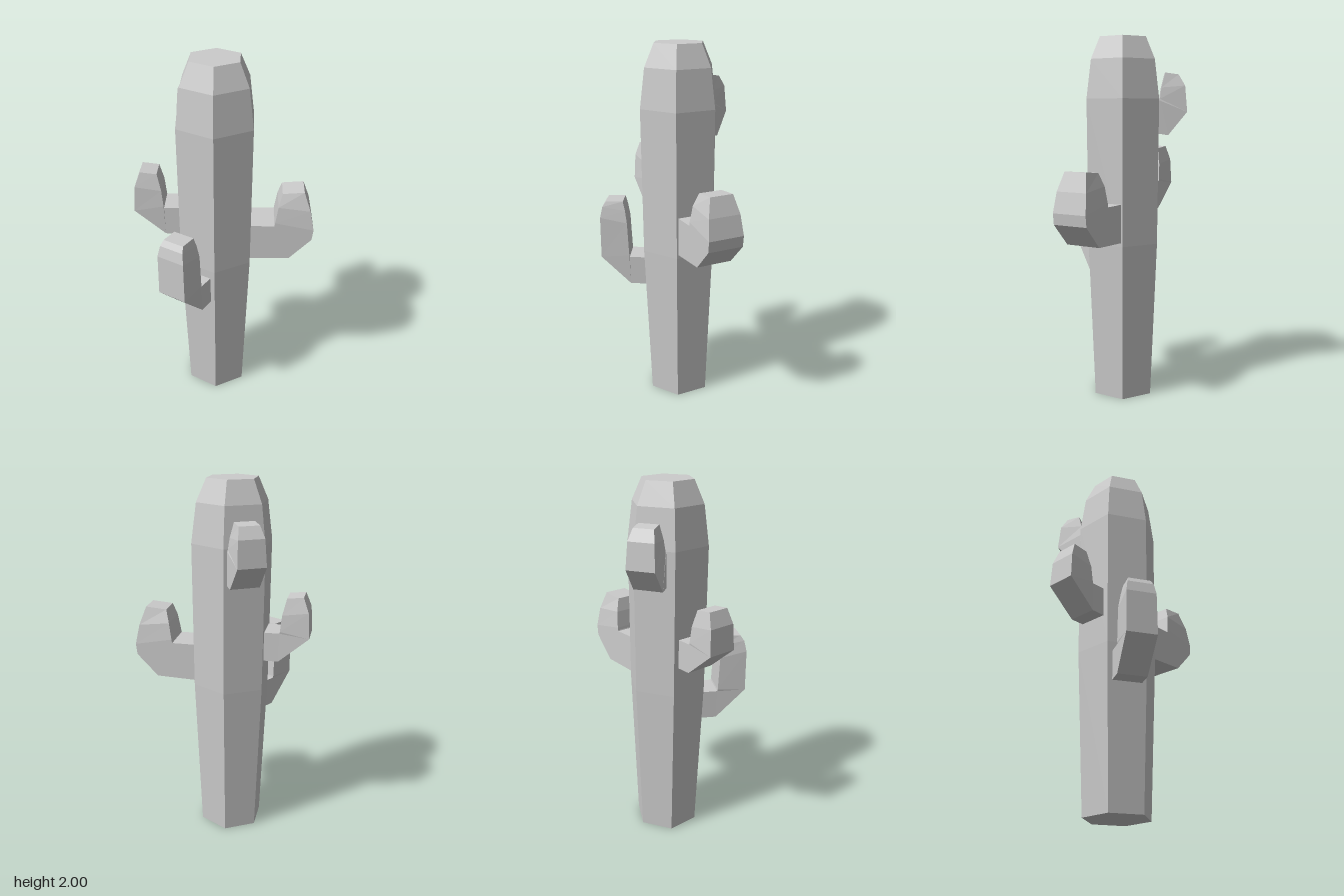
import * as THREE from 'three';

const material = new THREE.MeshStandardMaterial({ color: 0xcccccc, flatShading: true });

// Lofts four-sided rings; each ring is [innerR, innerY, outerR, outerY, halfWidth]
function armGeometry(rings) {
  const pos = [];
  const index = [];
  for (const [ir, iy, or, oy, w] of rings) {
    pos.push(ir, iy, w, or, oy, w, or, oy, -w, ir, iy, -w);
  }
  for (let i = 0; i < rings.length - 1; i++) {
    for (let k = 0; k < 4; k++) {
      const a = i * 4 + k, b = i * 4 + (k + 1) % 4;
      index.push(a, b, b + 4, a, b + 4, a + 4);
    }
  }
  const t = (rings.length - 1) * 4;
  index.push(0, 2, 1, 0, 3, 2, t, t + 1, t + 2, t, t + 2, t + 3);
  const geo = new THREE.BufferGeometry();
  geo.setAttribute('position', new THREE.Float32BufferAttribute(pos, 3));
  geo.setIndex(index);
  const flat = geo.toNonIndexed();
  flat.computeVertexNormals();
  return flat;
}

export function createModel() {
  const cactus = new THREE.Group();
  cactus.name = 'cactus';
  const centreX = -0.045;

  // Six-sided trunk, widening upwards to a chamfered crown
  const profile = [[0, 0.01], [0.18, 0.005], [0.218, 0.88], [0.225, 1.67], [0.197, 1.88], [0.142, 2], [0, 2]]
    .map(([r, y]) => new THREE.Vector2(r, y));
  const trunk = new THREE.Mesh(new THREE.LatheGeometry(profile, 6, Math.PI / 2), material);
  trunk.name = 'trunk';
  trunk.position.x = centreX;
  cactus.add(trunk);

  // Arms grow out of the trunk faces and bend upwards
  const arms = [
    ['leftFrontArm', -30, 0, [
      [0.15, 1.11, 0.15, 0.9, 0.1], [0.316, 1.11, 0.404, 0.91, 0.1], [0.318, 1.115, 0.52, 1.03, 0.1],
      [0.32, 1.13, 0.527, 1.09, 0.1], [0.335, 1.22, 0.505, 1.2, 0.09], [0.355, 1.29, 0.47, 1.3, 0.065]]],
    ['rightFrontArm', -150, 0, [
      [0.15, 0.83, 0.15, 0.67, 0.08], [0.274, 0.83, 0.27, 0.67, 0.08], [0.276, 0.84, 0.433, 0.83, 0.082],
      [0.285, 1.03, 0.433, 1.06, 0.08], [0.295, 1.1, 0.42, 1.12, 0.07], [0.307, 1.15, 0.4, 1.15, 0.06]]],
    ['rightBackArm', 150, 0, [
      [0.15, 1.2, 0.15, 1.04, 0.08], [0.274, 1.2, 0.27, 1.04, 0.08], [0.276, 1.21, 0.433, 1.18, 0.082],
      [0.285, 1.3, 0.425, 1.32, 0.077], [0.307, 1.39, 0.395, 1.4, 0.06]]],
    ['backArm', 90, 0.014, [
      [0.15, 1.66, 0.15, 1.49, 0.08], [0.2, 1.66, 0.245, 1.475, 0.08], [0.2, 1.67, 0.347, 1.6, 0.077],
      [0.208, 1.73, 0.335, 1.74, 0.07], [0.228, 1.81, 0.3, 1.8, 0.055]]],
  ];
  for (const [name, degrees, shift, rings] of arms) {
    const arm = new THREE.Mesh(armGeometry(rings), material);
    arm.name = name;
    arm.position.x = centreX + shift;
    arm.rotation.y = THREE.MathUtils.degToRad(degrees);
    cactus.add(arm);
  }
  return cactus;
}
